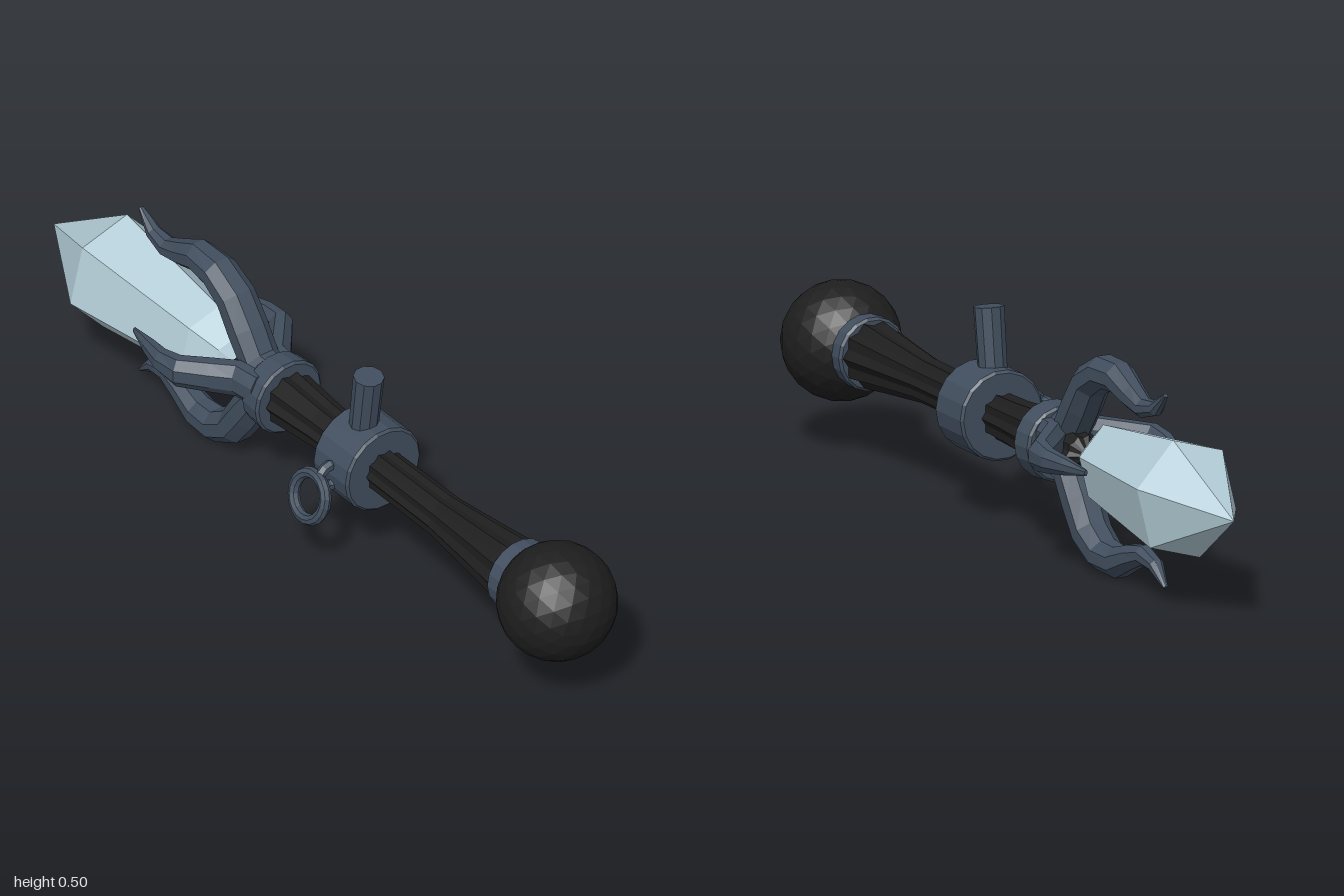
import * as THREE from 'three';

const AXIS_Y = 0.26, AXIS_Z = -0.012;

export function createModel() {
  const model = new THREE.Group();
  const mat = (name, color) => {
    const m = new THREE.MeshStandardMaterial({ color, flatShading: true });
    m.name = name;
    return m;
  };
  const slate = mat('slate metal', 0x414e5e);
  const black = mat('black grip', 0x1e1e1e);
  const ice = mat('pale crystal', 0xb4ced8);

  const add = (name, geometry, material, x = 0, y = AXIS_Y, z = AXIS_Z, parent = model) => {
    const mesh = new THREE.Mesh(geometry, material);
    mesh.name = name;
    mesh.position.set(x, y, z);
    parent.add(mesh);
    return mesh;
  };

  // Solid turned around the long axis; profile is [x, radius] from +x to -x
  const turned = (profile, sides, phi = 0) =>
    new THREE.LatheGeometry(profile.map(([x, r]) => new THREE.Vector2(r, -x)), sides, phi);

  // Six-sided crystal
  const crystalGeo = turned([[-0.31, 0], [-0.34, 0.05], [-0.41, 0.098], [-0.77, 0.147], [-1, 0]], 6, Math.PI / 4);
  crystalGeo.rotateZ(Math.PI / 2).scale(1, 1, 0.9);
  add('crystal', crystalGeo, ice, 0, 0.262, 0.003);

  // Fluted grip: every other lengthwise line is pulled in
  const gripProfile = [[0.78, 0.078], [0.7, 0.077], [0.62, 0.068], [0.45, 0.052], [0.2, 0.05],
    [0, 0.056], [-0.13, 0.066], [-0.2, 0.066], [-0.3, 0.045], [-0.33, 0]];
  const gripGeo = turned(gripProfile, 20);
  const pos = gripGeo.attributes.position;
  for (let i = 0; i < pos.count; i++) {
    const k = Math.floor(i / gripProfile.length) % 2 ? 0.88 : 1.02;
    pos.setXYZ(i, pos.getX(i) * k, pos.getY(i), pos.getZ(i) * k);
  }
  gripGeo.rotateZ(Math.PI / 2);
  add('grip', gripGeo, black);

  // Pommel ball
  add('pommel', new THREE.IcosahedronGeometry(0.14, 3), black, 0.865, 0.26, -0.015);

  // Collars: closed bands around the grip
  const band = (name, x0, x1, r0, r1) => add(name, turned(
    [[x1, 0.04], [x1, r1 - 0.006], [x1 - 0.006, r1], [x0 + 0.006, r0], [x0, r0 - 0.006], [x0, 0.04]], 18
  ).rotateZ(Math.PI / 2), slate);
  band('prongCollar', -0.2, -0.135, 0.09, 0.094);
  band('middleCollar', 0.09, 0.22, 0.107, 0.107);
  band('pommelCollar', 0.715, 0.77, 0.087, 0.087);

  // Curved prong swept in the xy plane; stations are [x, y, thickness, width]
  const prong = (stations) => {
    const sides = 8, verts = [], index = [];
    const n = stations.length;
    stations.forEach(([x, y, th, w], i) => {
      const a = stations[Math.max(i - 1, 0)], b = stations[Math.min(i + 1, n - 1)];
      const len = Math.hypot(b[0] - a[0], b[1] - a[1]);
      const tx = (b[0] - a[0]) / len, ty = (b[1] - a[1]) / len;
      for (let s = 0; s < sides; s++) {
        const ang = ((s + 0.5) / sides) * Math.PI * 2;
        const u = Math.cos(ang) * th / 2 * 1.08;
        verts.push(x + ty * u, y - tx * u, Math.sin(ang) * w / 2 * 1.08);
        if (i < n - 1) {
          const s2 = (s + 1) % sides, p = i * sides, q = p + sides;
          index.push(p + s, q + s, p + s2, q + s, q + s2, p + s2);
        }
      }
    });
    for (let s = 1; s < sides - 1; s++) {
      const e = (n - 1) * sides;
      index.push(0, s, s + 1, e, e + s + 1, e + s);
    }
    const g = new THREE.BufferGeometry();
    g.setAttribute('position', new THREE.Float32BufferAttribute(verts, 3));
    g.setIndex(index);
    g.computeVertexNormals();
    return g;
  };
  const longProng = prong([[-0.17, 0.04, 0.08, 0.085], [-0.235, 0.052, 0.085, 0.09], [-0.28, 0.115, 0.085, 0.092],
    [-0.325, 0.178, 0.08, 0.09], [-0.39, 0.215, 0.075, 0.085], [-0.46, 0.217, 0.072, 0.075],
    [-0.525, 0.19, 0.058, 0.06], [-0.58, 0.173, 0.045, 0.048], [-0.635, 0.185, 0.034, 0.035], [-0.682, 0.226, 0.008, 0.012]]);
  const shortProng = prong([[-0.17, 0.045, 0.06, 0.085], [-0.24, 0.055, 0.06, 0.085], [-0.29, 0.098, 0.058, 0.08],
    [-0.345, 0.145, 0.055, 0.074], [-0.4, 0.15, 0.046, 0.056], [-0.46, 0.14, 0.034, 0.04], [-0.533, 0.128, 0.008, 0.014]]);
  add('topProng', longProng, slate, 0, 0.26, -0.004);
  add('bottomProng', longProng, slate, 0, 0.26, -0.004).rotation.x = Math.PI;
  add('frontProng', shortProng, slate, 0, 0.285, 0).rotation.x = Math.PI / 2;
  add('backProng', shortProng, slate, 0, 0.285, -0.002).rotation.x = -Math.PI / 2;

  // Peg leaning slightly on top of the middle collar
  const peg = add('peg', new THREE.CylinderGeometry(0.036, 0.034, 0.17, 10), slate, 0.162, 0.415, -0.004);
  peg.rotation.z = -0.13;

  // Staple and hanging ring on the front of the middle collar
  const staple = add('ringStaple', new THREE.TorusGeometry(0.028, 0.013, 6, 12), slate, 0.155, 0.255, 0.095);
  staple.rotation.y = Math.PI / 2;
  const ring = add('hangingRing', new THREE.TorusGeometry(0.055, 0.014, 8, 18), slate, 0.145, 0.213, 0.144);
  ring.rotation.x = -0.32;

  return model;
}
